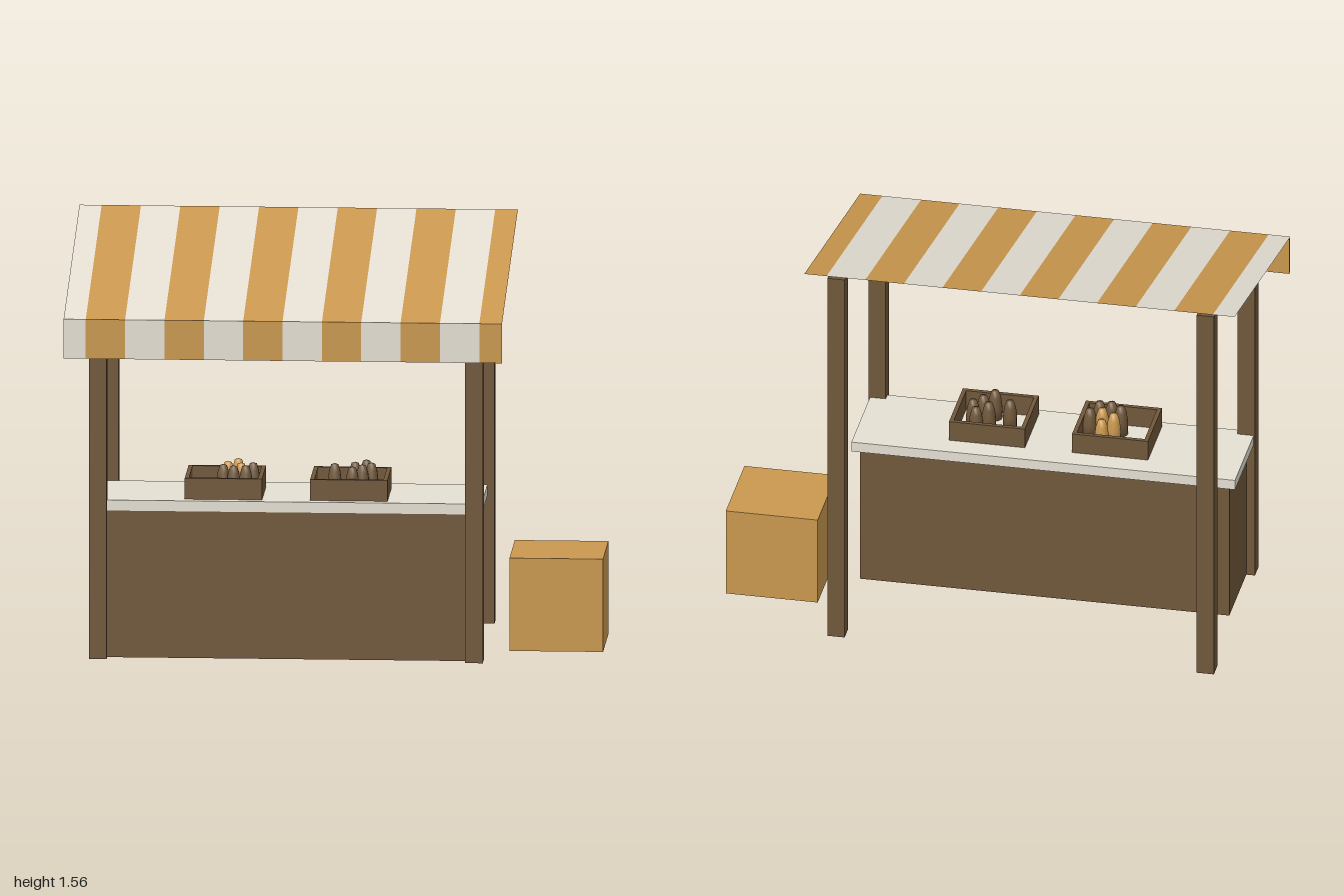
import * as THREE from 'three';

function material(name, color) {
  const m = new THREE.MeshStandardMaterial({ color, side: THREE.DoubleSide });
  m.name = name;
  return m;
}

export function createModel() {
  const darkWood = material('darkWood', 0x70573b);
  const ochre = material('ochre', 0xca984f);
  const cream = material('cream', 0xe4dfd2);

  const stall = new THREE.Group();
  stall.name = 'marketStall';

  const add = (parent, name, geometry, mat) => {
    const mesh = new THREE.Mesh(geometry, mat);
    mesh.name = name;
    parent.add(mesh);
    return mesh;
  };

  // Box given by its minimum and maximum corners
  const block = (parent, name, mat, [x0, y0, z0], [x1, y1, z1]) => {
    const mesh = add(parent, name, new THREE.BoxGeometry(x1 - x0, y1 - y0, z1 - z0), mat);
    mesh.position.set((x0 + x1) / 2, (y0 + y1) / 2, (z0 + z1) / 2);
    return mesh;
  };

  // Box standing on the ground with its underside left open
  const shell = (name, mat, min, max) => {
    const { geometry } = block(stall, name, mat, min, max);
    const faces = Array.from(geometry.index.array);
    faces.splice(18, 6);
    geometry.setIndex(faces);
    geometry.clearGroups();
  };

  // Four posts, the back pair taller
  for (const [side, x] of [['right', -0.915], ['left', 0.495]]) {
    shell(side + 'FrontPost', darkWood, [x, 0, 0.274], [x + 0.066, 1.3, 0.34]);
    shell(side + 'BackPost', darkWood, [x, 0, -0.496], [x + 0.066, 1.535, -0.43]);
  }

  // Counter, its ends tucked behind the front posts
  shell('counterBody', darkWood, [-0.882, 0, -0.045], [0.528, 0.56, 0.3]);
  block(stall, 'counterTop', cream, [-0.91, 0.56, -0.075], [0.555, 0.6, 0.305]);

  // Striped awning: sloping cloth with a hanging front valance
  const awning = new THREE.Group();
  awning.name = 'awning';
  stall.add(awning);
  const edges = [-1];
  for (let k = 0; k <= 10; k++) edges.push(-0.917 + k * 0.1475);
  edges.push(0.643);
  const zBack = -0.526, zFront = 0.512, yBack = 1.561, yFront = 1.33;
  const run = zFront - zBack, drop = yBack - yFront;
  for (let i = 0; i < edges.length - 1; i++) {
    const x0 = edges[i], x1 = edges[i + 1];
    const [mat, other] = i % 2 ? [ochre, cream] : [cream, ochre];
    const cloth = add(awning, 'awningStripe', new THREE.PlaneGeometry(x1 - x0, Math.hypot(run, drop)), mat);
    cloth.position.set((x0 + x1) / 2, (yBack + yFront) / 2, (zBack + zFront) / 2);
    cloth.rotation.x = -Math.PI / 2 + Math.atan2(drop, run);
    // The lining's stripes alternate with those on the front
    block(awning, 'valanceStripe', mat, [x0, 1.18, 0.509], [x1, 1.33, 0.518]);
    block(awning, 'valanceLiningStripe', other, [x0, 1.18, 0.5], [x1, 1.33, 0.509]);
  }

  // Blunt, tapered loaf standing upright
  const loafProfile = [[0, 0], [0.027, 0], [0.027, 0.05], [0.022, 0.09], [0.014, 0.115], [0, 0.12]]
    .map(([r, y]) => new THREE.Vector2(r, y));
  const loafGeometry = new THREE.LatheGeometry(loafProfile, 10);

  // Open trays of loaves: [x, z, ochre?]
  const trays = [
    { x: -0.56, loaves: [[-0.42, 0.19, 0], [-0.405, 0.13, 1], [-0.38, 0.215, 0], [-0.355, 0.16, 1],
      [-0.335, 0.21, 0], [-0.31, 0.15, 0], [-0.37, 0.075, 1]] },
    { x: -0.09, loaves: [[-0.005, 0.15, 0], [0.065, 0.215, 0], [0.07, 0.12, 0], [0.1, 0.17, 0],
      [0.132, 0.13, 0], [0.11, 0.075, 0]] },
  ];
  for (const { x, loaves } of trays) {
    const tray = new THREE.Group();
    tray.name = 'breadTray';
    stall.add(tray);
    const x1 = x + 0.29, z0 = 0.012, z1 = 0.272, t = 0.016;
    block(tray, 'trayFront', darkWood, [x, 0.6, z1 - t], [x1, 0.68, z1]);
    block(tray, 'trayBack', darkWood, [x, 0.6, z0], [x1, 0.68, z0 + t]);
    block(tray, 'trayRightEnd', darkWood, [x, 0.6, z0 + t], [x + t, 0.68, z1 - t]);
    block(tray, 'trayLeftEnd', darkWood, [x1 - t, 0.6, z0 + t], [x1, 0.68, z1 - t]);
    for (const [lx, lz, pale] of loaves) {
      add(tray, 'loaf', loafGeometry, pale ? ochre : darkWood).position.set(lx, 0.6, lz);
    }
  }

  // Crate standing beside the stall
  shell('crate', ochre, [0.647, 0, -0.255], [0.998, 0.354, 0.095]);

  return stall;
}
